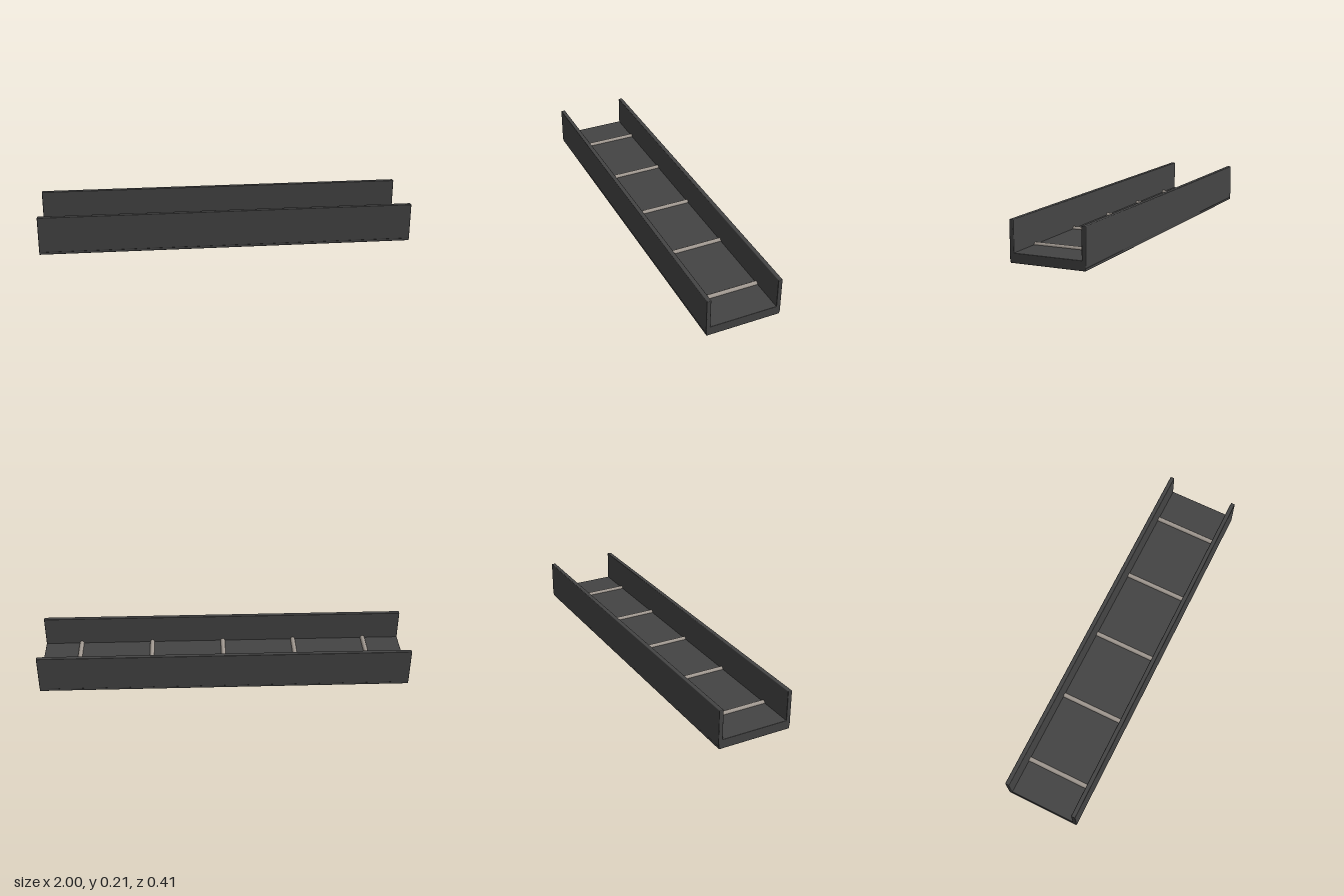
import * as THREE from 'three';
import { RoundedBoxGeometry } from 'three/addons/geometries/RoundedBoxGeometry.js';

export function createModel() {
  const model = new THREE.Group();
  model.name = 'rollerTray';

  const darkMetal = new THREE.MeshStandardMaterial({ name: 'darkMetal', color: 0x444444 });
  const rodMetal = new THREE.MeshStandardMaterial({ name: 'paleRodMetal', color: 0xa09890 });

  const add = (name, geometry, material, x, y, z) => {
    const mesh = new THREE.Mesh(geometry, material);
    mesh.name = name;
    mesh.position.set(x, y, z);
    model.add(mesh);
    return mesh;
  };

  // Floor slab with softened edges
  add('floor', new RoundedBoxGeometry(2, 0.05, 0.4, 2, 0.003), darkMetal, 0, 0.025, 0);

  // Side walls, standing slightly proud of the floor
  const wall = new RoundedBoxGeometry(2, 0.198, 0.0235, 2, 0.004);
  for (const side of [1, -1]) {
    add(side > 0 ? 'frontWall' : 'backWall', wall, darkMetal, 0, 0.1125, side * 0.191);
  }

  // Cross rods, half sunk into the floor
  const rod = new THREE.CylinderGeometry(0.0125, 0.0125, 0.37, 16);
  rod.rotateX(Math.PI / 2);
  for (let i = -2; i <= 2; i++) {
    add('crossRod' + (i + 3), rod, rodMetal, i * 0.4, 0.05, 0);
  }

  return model;
}
